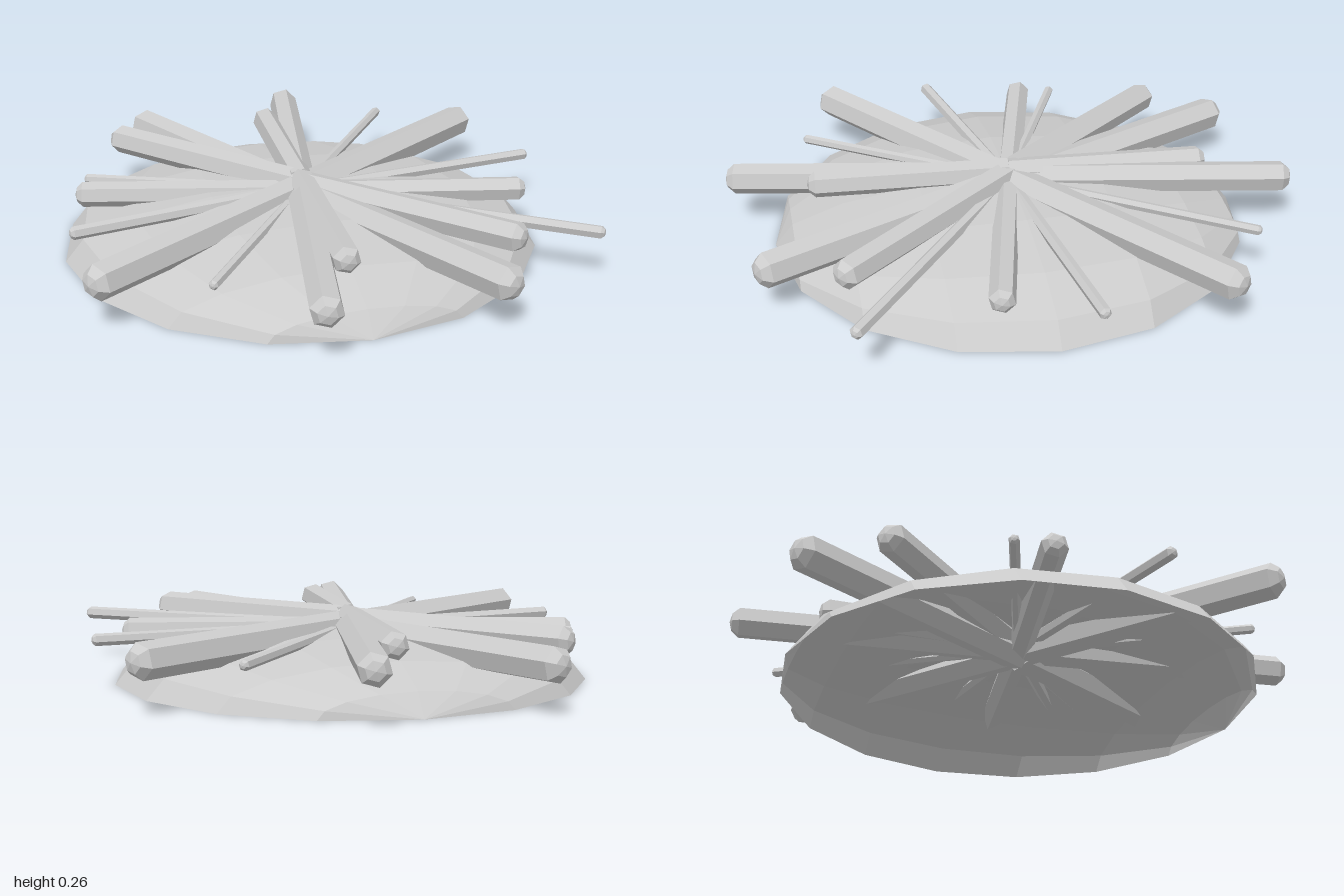
import * as THREE from 'three';

// Tip position (x, y, z) and tip radius of each crystal
const CRYSTALS = [
  [0.16, 0.183, -0.985, 0.055], [-0.23, 0.183, 0.98, 0.055],
  [-0.455, 0.16, -0.92, 0.062], [0.395, 0.16, 0.91, 0.062],
  [0.805, 0.172, -0.585, 0.061], [-0.86, 0.172, 0.57, 0.061],
  [-0.59, 0.195, -0.675, 0.053], [0.53, 0.195, 0.655, 0.053],
  [0.01, 0.208, -0.71, 0.048], [-0.08, 0.208, 0.7, 0.048],
  [-0.8, 0.165, -0.2, 0.045], [0.74, 0.165, 0.18, 0.045],
  [0.88, 0.177, -0.115, 0.021], [-0.87, 0.177, 0.17, 0.023],
  [0.5, 0.177, -0.755, 0.018], [-0.505, 0.177, 0.685, 0.017],
  [0.825, 0.175, 0.645, 0.023], [-0.755, 0.175, -0.32, 0.018],
];

export function createModel() {
  const model = new THREE.Group();
  const material = new THREE.MeshStandardMaterial({
    color: 0xcccccc, flatShading: true, side: THREE.DoubleSide,
  });

  // Hollow flattened half sphere, with its poles lying along z
  const domeGeometry = new THREE.SphereGeometry(1, 8, 8, 0, Math.PI);
  domeGeometry.rotateX(-Math.PI / 2).scale(0.845, 0.2, 0.845).translate(-0.04, 0, 0);
  const dome = new THREE.Mesh(domeGeometry, material);
  dome.name = 'baseDome';
  model.add(dome);

  // Level six-sided crystals stacked through the centre, with blunt pointed tips
  const burst = new THREE.Group();
  burst.name = 'crystalBurst';
  for (const [x, y, z, radius] of CRYSTALS) {
    const start = new THREE.Vector3(-0.035, y, 0);
    const tip = new THREE.Vector3(x, y, z);
    const length = tip.distanceTo(start) + 0.01;
    const profile = [
      [0, 0], [radius * 1.03, 0], [radius, length - radius * 0.45],
      [radius * 0.6, length], [0, length + radius * 0.15],
    ].map(([r, h]) => new THREE.Vector2(r, h));
    const geometry = new THREE.LatheGeometry(profile, 6, Math.PI / 12);
    geometry.rotateX(Math.PI / 2);
    const crystal = new THREE.Mesh(geometry, material);
    crystal.name = 'crystal';
    crystal.position.copy(start);
    crystal.lookAt(tip);
    burst.add(crystal);
  }
  model.add(burst);
  return model;
}
